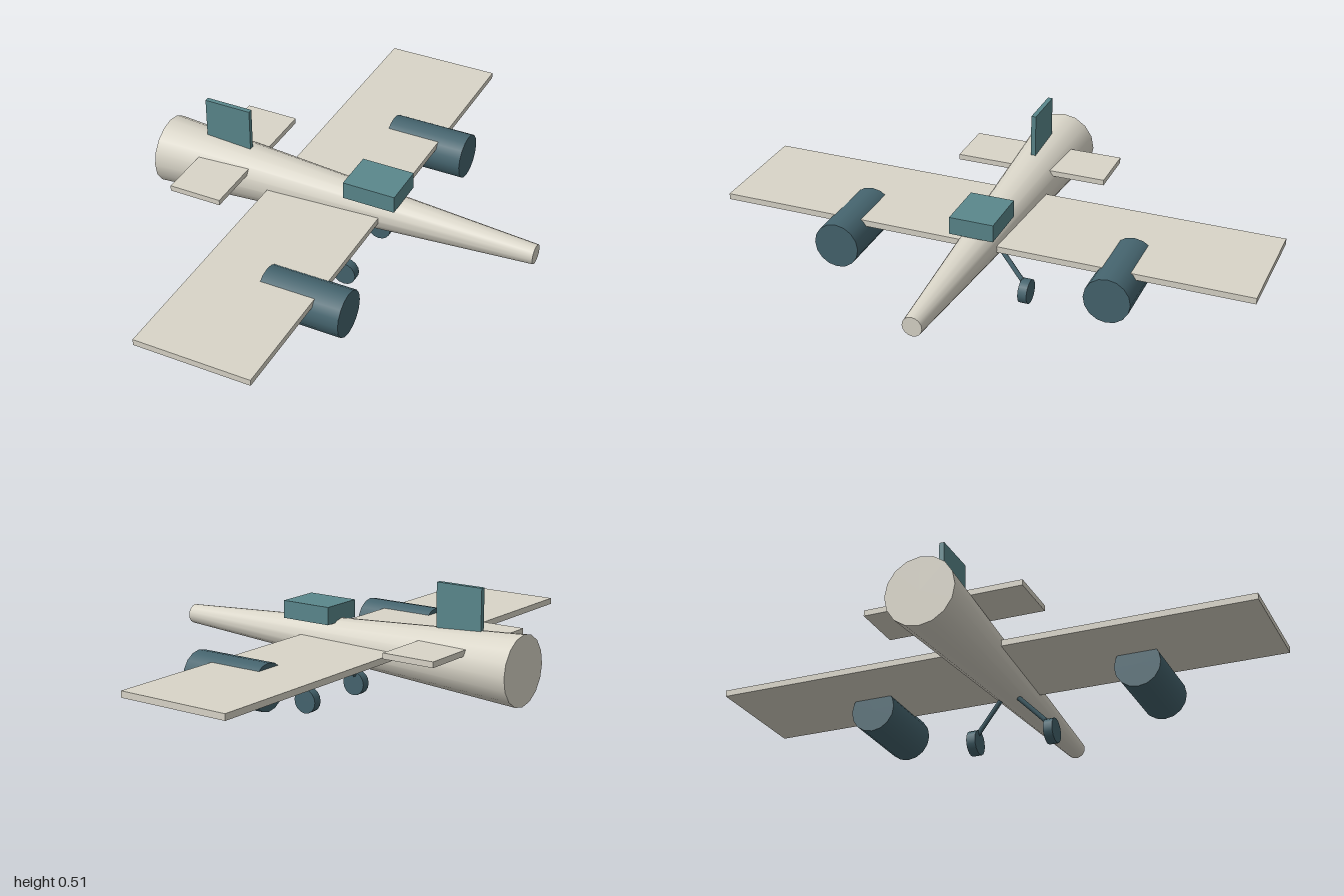
import * as THREE from 'three';

const mat = (name, color) => {
  const m = new THREE.MeshStandardMaterial({ color });
  m.name = name;
  return m;
};

export function createModel() {
  const cream = mat('cream', 0xd9d5c8);
  const teal = mat('teal', 0x5a878c);
  const slate = mat('slate', 0x45646e);
  const plane = new THREE.Group();
  plane.name = 'airplane';

  const add = (name, geometry, material) => {
    const mesh = new THREE.Mesh(geometry, material);
    mesh.name = name;
    plane.add(mesh);
    return mesh;
  };

  // Box given by its extents on each axis
  const box = (name, [x0, x1], [y0, y1], [z0, z1], material) =>
    add(name, new THREE.BoxGeometry(x1 - x0, y1 - y0, z1 - z0), material)
      .position.set((x0 + x1) / 2, (y0 + y1) / 2, (z0 + z1) / 2);

  // Cylinder lying along x, narrowing towards the nose if the radii differ
  const tubeX = (name, rNose, rTail, x0, x1, y, z, material) => {
    const g = new THREE.CylinderGeometry(rNose, rTail, x1 - x0, 16).rotateZ(-Math.PI / 2);
    add(name, g, material).position.set((x0 + x1) / 2, y, z);
  };

  // Fuselage, wings and tail
  tubeX('fuselage', 0.036, 0.126, -0.728, 0.728, 0.248, 0, cream);
  box('wing', [-0.273, 0.16], [0.237, 0.26], [-1, 1], cream);
  box('tailplane', [-0.557, -0.357], [0.294, 0.315], [-0.29, 0.29], cream);
  box('fin', [-0.565, -0.385], [0.31, 0.512], [-0.009, 0.009], teal);
  box('cockpit', [0.027, 0.226], [0.315, 0.38], [-0.082, 0.082], teal);

  // Engines and landing gear, mirrored
  for (const s of [-1, 1]) {
    const side = s > 0 ? 'left' : 'right';
    tubeX(side + 'Engine', 0.085, 0.085, -0.046, 0.261, 0.194, s * 0.51, slate);

    const wheel = new THREE.CylinderGeometry(0.046, 0.046, 0.034, 16).rotateX(Math.PI / 2);
    add(side + 'Wheel', wheel, slate).position.set(0.07, 0.046, s * 0.148);

    const top = new THREE.Vector3(0.03, 0.195, s * 0.02);
    const foot = new THREE.Vector3(0.07, 0.068, s * 0.147);
    const axis = top.clone().sub(foot);
    const strut = add(side + 'Strut', new THREE.CylinderGeometry(0.009, 0.009, axis.length(), 8), slate);
    strut.position.copy(top).add(foot).multiplyScalar(0.5);
    strut.quaternion.setFromUnitVectors(new THREE.Vector3(0, 1, 0), axis.normalize());
  }
  return plane;
}
